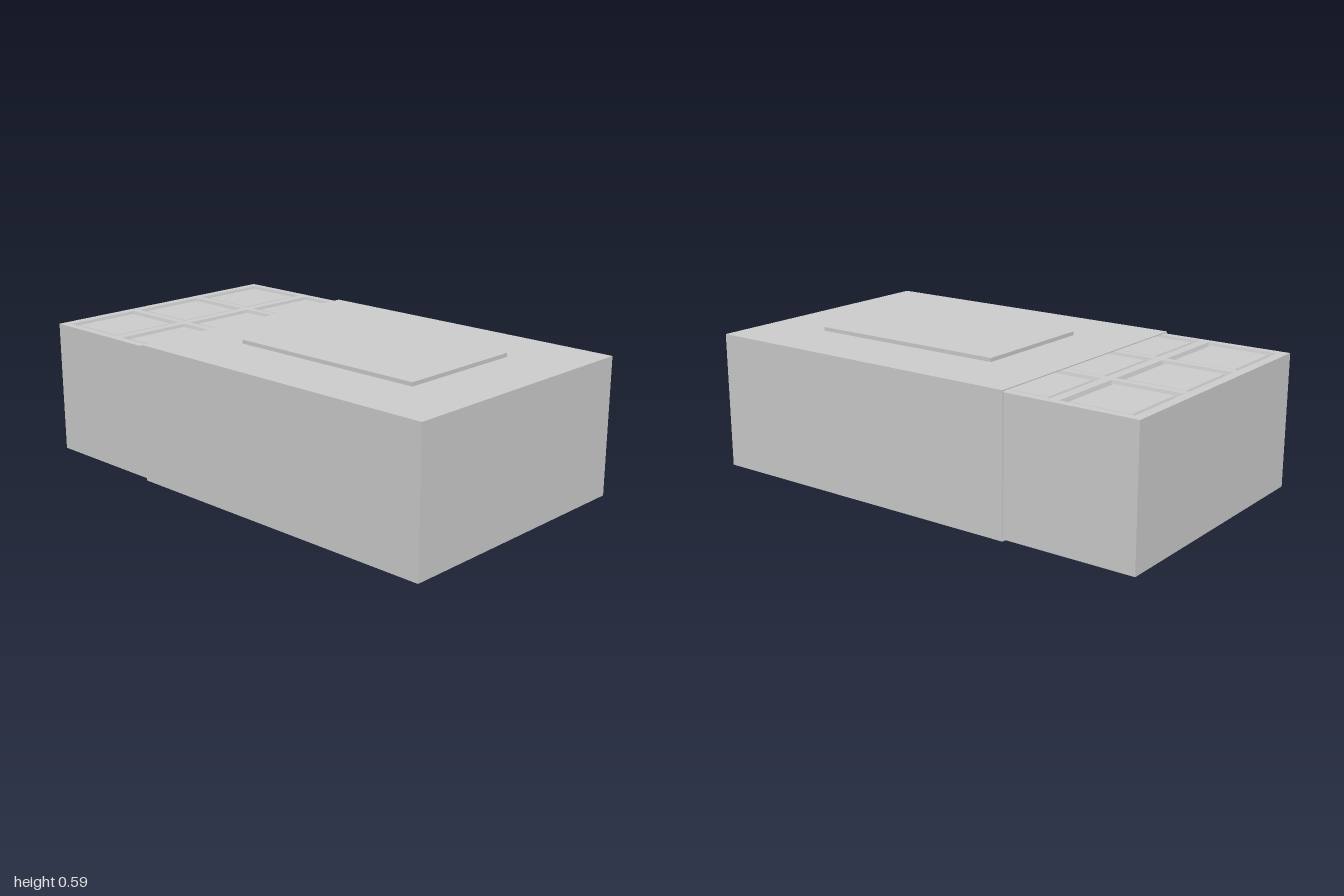
import * as THREE from 'three';

const material = new THREE.MeshStandardMaterial({ color: 0xcccccc, flatShading: true });

function add(parent, name, geometry) {
  const mesh = new THREE.Mesh(geometry, material);
  mesh.name = name;
  parent.add(mesh);
  return mesh;
}

// Box given by its lower and upper corners
function box(parent, name, [x0, y0, z0], [x1, y1, z1]) {
  const mesh = add(parent, name, new THREE.BoxGeometry(x1 - x0, y1 - y0, z1 - z0));
  mesh.position.set((x0 + x1) / 2, (y0 + y1) / 2, (z0 + z1) / 2);
  return mesh;
}

// Corners of a rectangle, counter-clockwise
function rectangle(x0, y0, x1, y1) {
  return [[x0, y0], [x1, y0], [x1, y1], [x0, y1]].map(([x, y]) => new THREE.Vector2(x, y));
}

// Rectangular rings [inset, y] from the rim inwards, closed by a flat panel
function squareGeometry(width, depth, rings) {
  const positions = [];
  const corners = rings.map(([inset, y]) => {
    const a = width / 2 - inset, b = depth / 2 - inset;
    return [[-a, y, -b], [-a, y, b], [a, y, b], [a, y, -b]];
  });
  const quad = (a, b, c, d) => positions.push(...a, ...b, ...c, ...a, ...c, ...d);
  for (let r = 0; r + 1 < corners.length; r++) {
    for (let i = 0; i < 4; i++) {
      const j = (i + 1) % 4;
      quad(corners[r][i], corners[r][j], corners[r + 1][j], corners[r + 1][i]);
    }
  }
  quad(...corners[corners.length - 1]);
  const geometry = new THREE.BufferGeometry();
  geometry.setAttribute('position', new THREE.Float32BufferAttribute(positions, 3));
  geometry.computeVertexNormals();
  return geometry;
}

export function createModel() {
  const model = new THREE.Group();
  model.name = 'barInSleeve';

  // Sleeve: open at the back, closed at the front
  const sleeve = new THREE.Group();
  sleeve.name = 'sleeve';
  model.add(sleeve);
  const W = 0.573, H = 0.573, back = -0.44, front = 1, wall = 0.004;
  const profile = new THREE.Shape(rectangle(-W, 0, W, H));
  profile.holes.push(new THREE.Path(rectangle(-W + wall, wall, W - wall, H - wall)));
  const tube = new THREE.ExtrudeGeometry(profile, { depth: front - back - wall, bevelEnabled: false });
  add(sleeve, 'sleeveWalls', tube).position.z = back;
  box(sleeve, 'sleeveFront', [-W, 0, front - wall], [W, H, front]);
  box(sleeve, 'labelPanel', [-0.281, H - 0.002, -0.165], [0.281, 0.589, 0.715]);

  // Bar: solid block sliding out of the back of the sleeve
  const bar = new THREE.Group();
  bar.name = 'bar';
  model.add(bar);
  const w = 0.568, low = 0.007, top = 0.565, floor = 0.535, end = 0.765;
  box(bar, 'barBase', [-w, low, -1], [w, floor, end]);

  // Grid of ribs on top, with a moulded square in each opening
  const cellW = 0.335, cellD = 0.305, pitchX = 0.367, pitchZ = 0.345;
  const outline = new THREE.Shape(rectangle(-w, -end, w, 1));
  for (let row = 0; row < 5; row++) {
    for (let column = -1; column <= 1; column++) {
      const x = column * pitchX, z = -0.808 + row * pitchZ;
      outline.holes.push(new THREE.Path(
        rectangle(x - cellW / 2, -z - cellD / 2, x + cellW / 2, -z + cellD / 2)));
      const square = squareGeometry(cellW, cellD, [
        [0, top], [0.008, floor + 0.002], [0.017, floor + 0.002], [0.026, top - 0.005],
      ]);
      add(bar, 'barSquare', square).position.set(x, 0, z);
    }
  }
  const ribs = new THREE.ExtrudeGeometry(outline, { depth: top - floor, bevelEnabled: false });
  ribs.rotateX(-Math.PI / 2);
  add(bar, 'barRibs', ribs).position.y = floor;

  return model;
}
